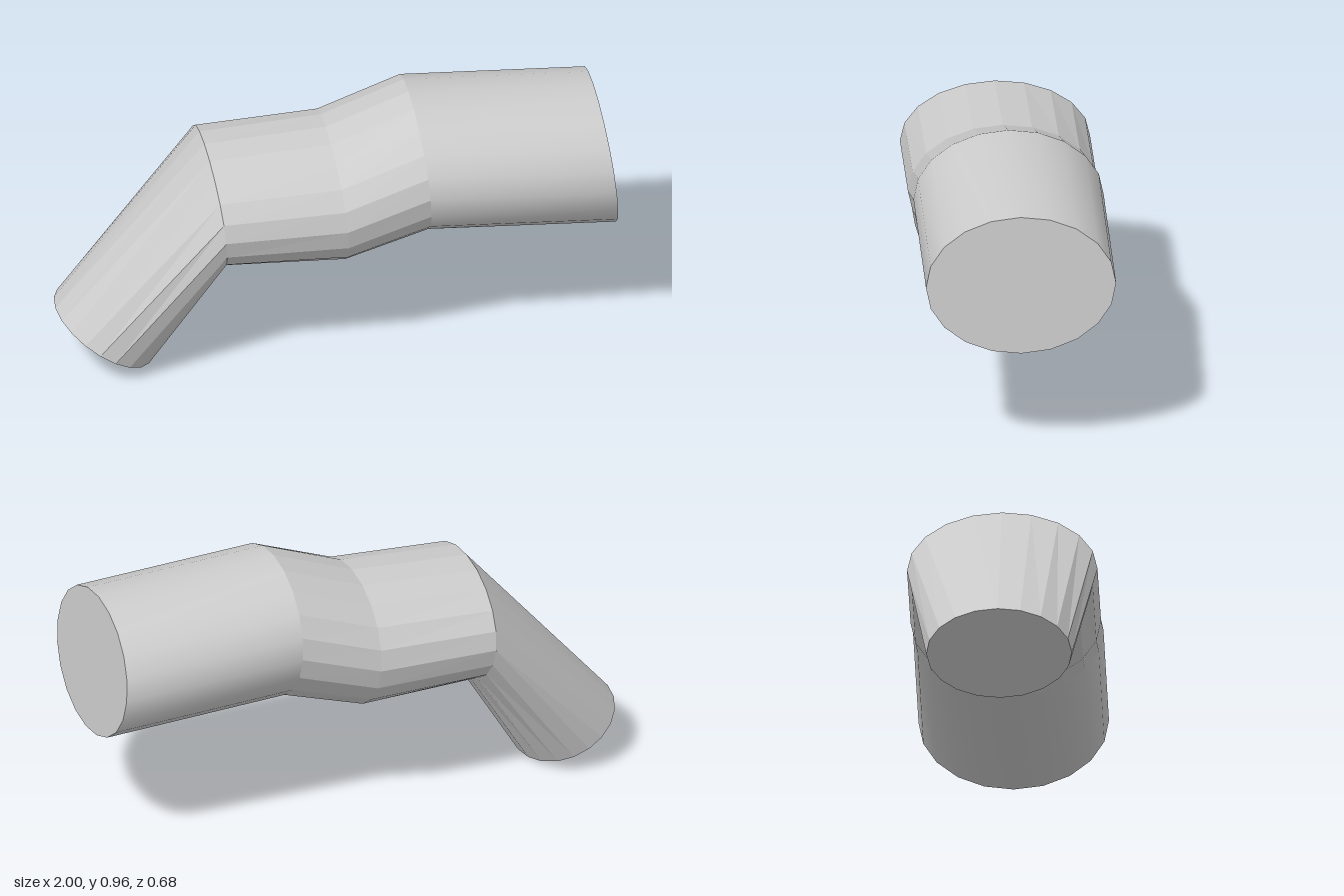
import * as THREE from 'three';

const SIDES = 20;

// Tilted elliptical section: top and bottom points in the xy plane, half-width in z
const ring = (topX, topY, botX, botY, halfWidth) => {
  const points = [];
  for (let j = 0; j < SIDES; j++) {
    const t = (j / SIDES) * Math.PI * 2;
    const k = (1 + Math.cos(t)) / 2;
    points.push([botX + (topX - botX) * k, botY + (topY - botY) * k, Math.sin(t) * halfWidth]);
  }
  return points;
};

function toMesh(name, points, index, flat) {
  const geometry = new THREE.BufferGeometry();
  geometry.setAttribute('position', new THREE.Float32BufferAttribute(points.flat(), 3));
  geometry.setIndex(index);
  geometry.computeVertexNormals();
  const material = new THREE.MeshStandardMaterial({ color: 0xcccccc, flatShading: flat });
  const mesh = new THREE.Mesh(geometry, material);
  mesh.name = name;
  return mesh;
}

// Skin between successive rings, ordered towards +x
function loft(name, rings, flat) {
  const index = [];
  for (let i = 0; i < rings.length - 1; i++) {
    for (let j = 0; j < SIDES; j++) {
      const next = (j + 1) % SIDES;
      const a = i * SIDES + j, b = i * SIDES + next;
      index.push(a, b, a + SIDES, b, b + SIDES, a + SIDES);
    }
  }
  return toMesh(name, rings.flat(), index, flat);
}

// Flat end disc facing +x or -x
function cap(name, points, facesPlusX) {
  const index = [];
  for (let j = 1; j < SIDES - 1; j++) {
    index.push(...(facesPlusX ? [0, j, j + 1] : [0, j + 1, j]));
  }
  return toMesh(name, points, index, true);
}

export function createModel() {
  const group = new THREE.Group();
  group.name = 'bentTube';

  const lowerEnd = ring(-1, 0.19, -0.655, 0, 0.26);
  const elbow = ring(-0.46, 0.82, -0.42, 0.388, 0.34);
  const waist = ring(-0.02, 0.845, 0.02, 0.362, 0.34);
  const shoulder = ring(0.28, 0.96, 0.32, 0.453, 0.34);
  const upperEnd = ring(0.95, 0.92, 1, 0.41, 0.34);

  group.add(
    loft('taperedLowerTube', [lowerEnd, elbow], true),
    loft('middleTube', [elbow, waist, shoulder], true),
    loft('upperTube', [shoulder, upperEnd], false),
    cap('lowerEndCap', lowerEnd, false),
    cap('upperEndCap', upperEnd, true),
  );
  return group;
}
